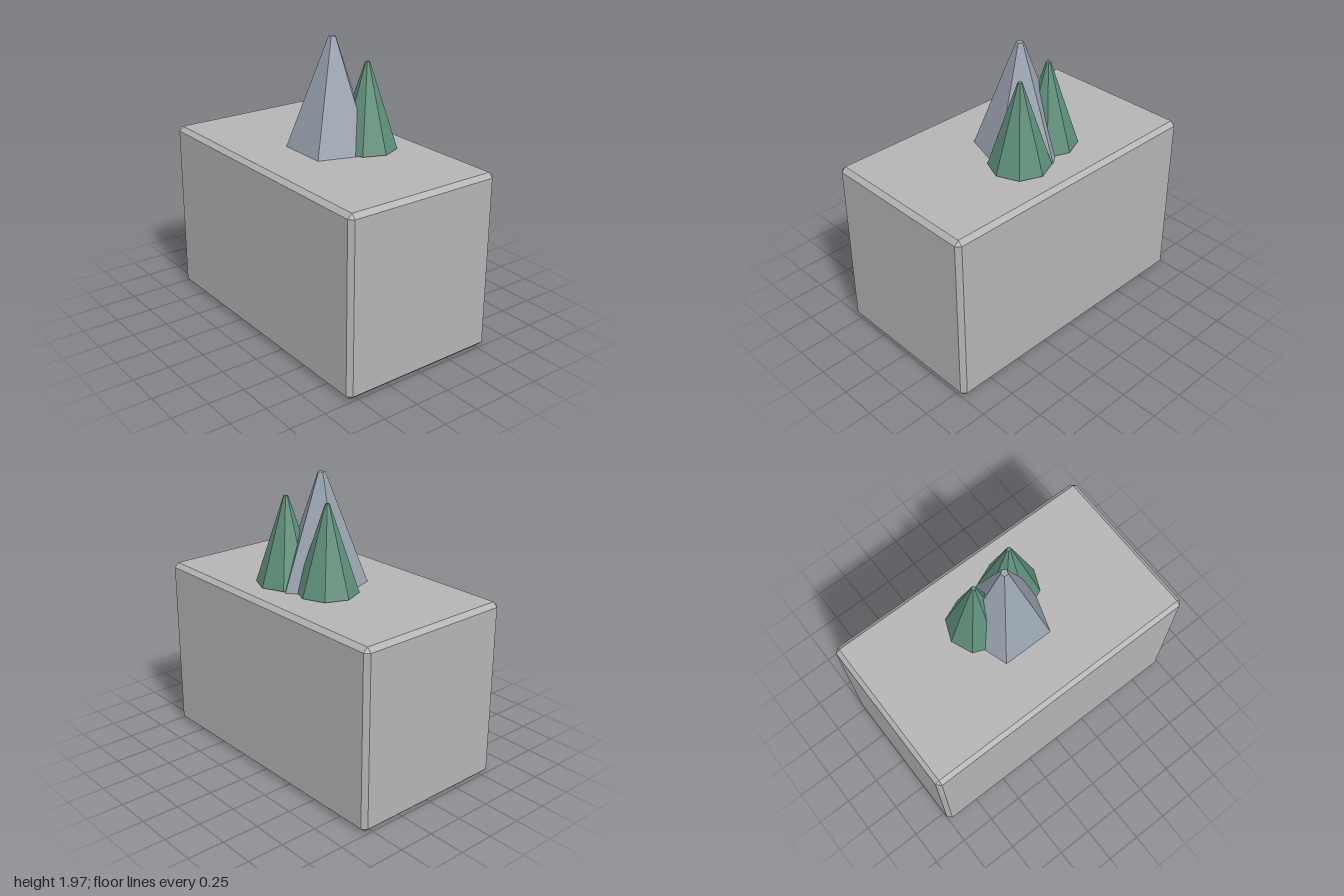
import * as THREE from 'three';
import { ConvexGeometry } from 'three/addons/geometries/ConvexGeometry.js';

const stone = new THREE.MeshStandardMaterial({ name: 'pale stone', color: 0xb4b4b4 });
const rock = new THREE.MeshStandardMaterial({ name: 'blue grey rock', color: 0x9aa4b0 });
const foliage = new THREE.MeshStandardMaterial({ name: 'pine green', color: 0x5f8f7b });

// Box with flat chamfers and clipped triangular corners
function chamferedBox(hx, hy, hz, c) {
  const points = [];
  for (const sx of [-1, 1]) for (const sy of [-1, 1]) for (const sz of [-1, 1]) {
    for (const [a, b, d] of [[0, c, c], [c, 0, c], [c, c, 0]]) {
      points.push(new THREE.Vector3(sx * (hx - a), sy * (hy - b), sz * (hz - d)));
    }
  }
  return new ConvexGeometry(points);
}

// Faceted cone with a small flat tip, standing at height y0
function spire(name, material, sides, rTop, rBase, x, z, y0, y1, turn = 0) {
  const geometry = new THREE.CylinderGeometry(rTop, rBase, y1 - y0, sides).toNonIndexed();
  geometry.computeVertexNormals();
  const mesh = new THREE.Mesh(geometry, material);
  mesh.name = name;
  mesh.position.set(x, (y0 + y1) / 2, z);
  mesh.rotation.y = turn;
  return mesh;
}

export function createModel() {
  const model = new THREE.Group();
  model.name = 'rockPedestal';

  // Base block
  const block = new THREE.Mesh(chamferedBox(1, 0.611, 0.57, 0.03), stone);
  block.name = 'baseBlock';
  block.position.y = 0.611;
  model.add(block);

  // Five-sided peak with a flat face to the front
  model.add(spire('rockPeak', rock, 5, 0.025, 0.305, 0, -0.05, 1.222, 1.97, Math.PI));

  // Two eight-sided trees set into the back of the peak
  model.add(spire('leftTree', foliage, 8, 0.015, 0.206, 0.16, -0.213, 1.228, 1.81));
  model.add(spire('rightTree', foliage, 8, 0.015, 0.206, -0.163, -0.14, 1.228, 1.81));

  return model;
}
